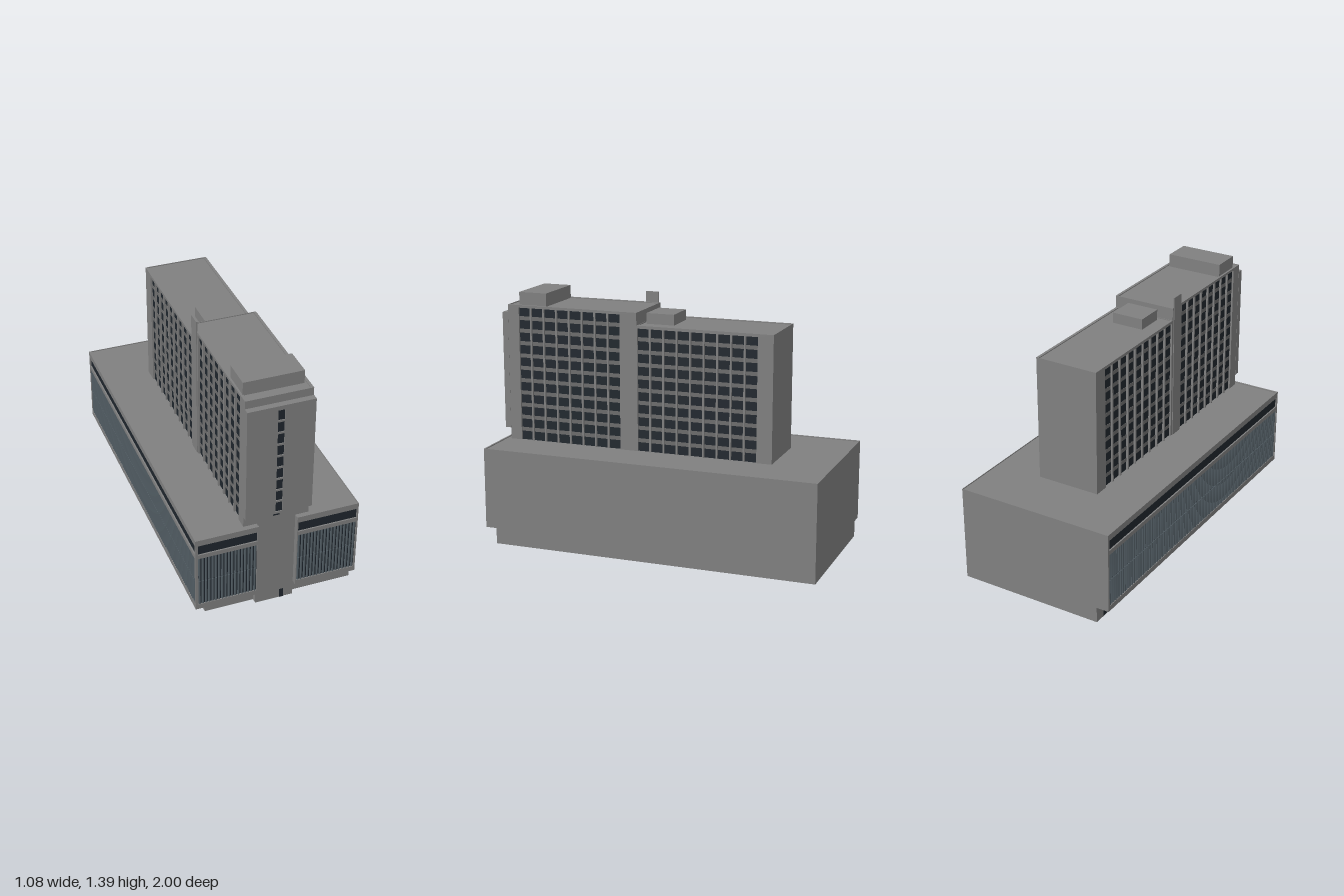
import * as THREE from 'three';

const wall = new THREE.MeshStandardMaterial({ color: 0x808080 });
const spandrelMat = new THREE.MeshStandardMaterial({ color: 0x6c6c6c });
const glass = new THREE.MeshStandardMaterial({ color: 0x1f262d });
const finMat = new THREE.MeshStandardMaterial({ color: 0x525d64 });

// Box given by its limits
function box(parent, name, x0, x1, y0, y1, z0, z1, mat = wall) {
  const m = new THREE.Mesh(new THREE.BoxGeometry(x1 - x0, y1 - y0, z1 - z0), mat);
  m.position.set((x0 + x1) / 2, (y0 + y1) / 2, (z0 + z1) / 2);
  m.name = name;
  parent.add(m);
  return m;
}

// Wall slab in the XY plane with rectangular openings [x0, x1, y0, y1]
function panel(parent, name, x0, x1, y0, y1, holes, depth) {
  const rect = (T, a, b, c, d) => {
    const p = new T();
    p.moveTo(a, c); p.lineTo(b, c); p.lineTo(b, d); p.lineTo(a, d); p.closePath();
    return p;
  };
  const shape = rect(THREE.Shape, x0, x1, y0, y1);
  holes.forEach(h => shape.holes.push(rect(THREE.Path, ...h)));
  const m = new THREE.Mesh(new THREE.ExtrudeGeometry(shape, { depth, bevelEnabled: false }), wall);
  m.name = name;
  parent.add(m);
  return m;
}

// Podium facade: framed window band above a screen of round vertical fins
function screenFacade(name, s0, s1, a, b) {
  const g = new THREE.Group();
  g.name = name;
  panel(g, 'facadeFrame', s0, s1, 0.09, 0.55, [[a, b, 0.12, 0.43], [a, b, 0.455, 0.515]], 0.01);
  box(g, 'screenBacking', a - 0.002, b + 0.002, 0.115, 0.52, -0.004, 0.002, glass);
  const n = Math.round((b - a) / 0.0185);
  const geo = new THREE.CylinderGeometry(0.0065, 0.0065, 0.152, 8);
  for (let i = 0; i < n; i++) for (const y of [0.197, 0.353]) {
    const fin = new THREE.Mesh(geo, finMat);
    fin.position.set(a + (i + 0.5) * (b - a) / n, y, 0.003);
    fin.name = 'screenFin';
    g.add(fin);
  }
  return g;
}

// Thin rectangular parapet around a roof
function parapet(parent, x0, x1, y0, y1, z0, z1, t = 0.003) {
  box(parent, 'parapet', x0, x0 + t, y0, y1, z0, z1);
  box(parent, 'parapet', x1 - t, x1, y0, y1, z0, z1);
  box(parent, 'parapet', x0 + t, x1 - t, y0, y1, z0, z0 + t);
  box(parent, 'parapet', x0 + t, x1 - t, y0, y1, z1 - t, z1);
}

function buildPodium() {
  const g = new THREE.Group();
  g.name = 'podium';
  box(g, 'podiumBase', -0.385, 0.457, 0, 0.09, -0.964, 0.9);
  box(g, 'podiumBody', -0.448, 0.457, 0.09, 0.545, -0.964, 0.93);
  box(g, 'entranceCore', -0.108, 0.108, 0, 0.09, 0.85, 0.93);
  box(g, 'entranceDoor', 0.03, 0.053, 0, 0.055, 0.925, 0.932, glass);
  // Two front wings either side of the entrance core
  for (const [x0, x1, a, b] of [[-0.448, -0.108, -0.443, -0.116], [0.108, 0.457, 0.113, 0.449]]) {
    box(g, 'frontWing', x0, x1, 0.09, 0.545, 0.93, 0.954);
    const f = screenFacade('frontFacade', x0, x1, a, b);
    f.position.z = 0.954;
    g.add(f);
  }
  // Long screened side
  const side = screenFacade('sideFacade', -0.964, 0.964, -0.952, 0.952);
  side.rotation.y = -Math.PI / 2;
  side.position.x = -0.448;
  g.add(side);
  // Recessed ground floor glazing between piers
  for (const [z0, z1] of [[-0.9, -0.11], [-0.08, 0.08], [0.11, 0.87]])
    box(g, 'groundFloorGlazing', -0.387, -0.38, 0.005, 0.085, z0, z1, glass);
  // Roof edge
  box(g, 'parapet', 0.454, 0.457, 0.545, 0.55, -0.964, 0.954);
  box(g, 'parapet', -0.448, 0.454, 0.545, 0.55, -0.964, -0.961);
  return g;
}

function buildTower() {
  const g = new THREE.Group();
  g.name = 'tower';
  const inner = 0.171, pitch = 0.0715;
  // [back, front, roof height, window start, window end, columns, rows, top of first row]
  const blocks = [
    [0.15, 0.93, 1.325, 0.245, 0.868, 8, 11, 1.31],
    [-0.633, 0.15, 1.255, -0.55, 0.15, 9, 10, 1.2385]
  ];
  for (const [z0, z1, top, w0, w1, cols, rows, firstTop] of blocks) {
    box(g, 'towerBlock', -inner, inner, 0.53, top - 0.005, z0, z1);
    parapet(g, -inner, inner, top - 0.005, top, z0, z1);
    const step = (w1 - w0) / cols;
    for (const s of [-1, 1]) {
      // Full-height window bays between projecting piers
      const bays = [];
      for (let c = 0; c < cols; c++) {
        const a = w0 + c * step + 0.005, b = a + step - 0.01;
        bays.push(s > 0 ? [-b, -a, 0.54, firstTop] : [a, b, 0.54, firstTop]);
      }
      const [p0, p1] = s > 0 ? [-z1, -z0] : [z0, z1];
      const p = panel(g, 'windowWall', p0, p1, 0.53, top, bays, 0.012);
      p.rotation.y = s * Math.PI / 2;
      p.position.x = s * inner;
      const x = s * (inner - 0.001);
      box(g, 'windowGlass', x - 0.002, x + 0.002, 0.535, firstTop + 0.004, w0 + 0.002, w1 - 0.002, glass);
      // Floor bands set back behind the piers
      for (let r = 1; r < rows; r++) {
        const y = firstTop - r * pitch;
        box(g, 'spandrel', x - 0.003, x + 0.003, y, y + 0.0225, w0 + 0.003, w1 - 0.003, spandrelMat);
      }
    }
  }
  // Front slab with a single column of stair windows
  const stair = [];
  for (let i = 0; i < 9; i++) stair.push([-0.019, 0.018, 1.195 - i * pitch, 1.255 - i * pitch]);
  panel(g, 'frontSlab', -0.184, 0.184, 0.61, 1.28, stair, 0.034).position.z = 0.93;
  box(g, 'stairGlass', -0.022, 0.021, 0.615, 1.26, 0.925, 0.959, glass);
  box(g, 'lowerStairWindow', -0.019, 0.018, 0.573, 0.605, 0.925, 0.932, glass);
  // Blade rising past the roof on the screened side
  box(g, 'bladeFin', -0.187, -0.18, 0.54, 1.385, 0.16, 0.237);
  // Rooftop plant rooms
  box(g, 'frontPlantRoom', -0.172, 0.157, 1.31, 1.395, 0.704, 0.87);
  box(g, 'rearPlantRoom', -0.098, 0.087, 1.24, 1.31, -0.034, 0.127);
  return g;
}

export function createModel() {
  const model = new THREE.Group();
  model.name = 'officeBuilding';
  const building = new THREE.Group();
  building.name = 'building';
  building.add(buildPodium(), buildTower());
  building.rotation.y = -0.086; // the building stands slightly turned on its plot
  model.add(building);
  return model;
}
